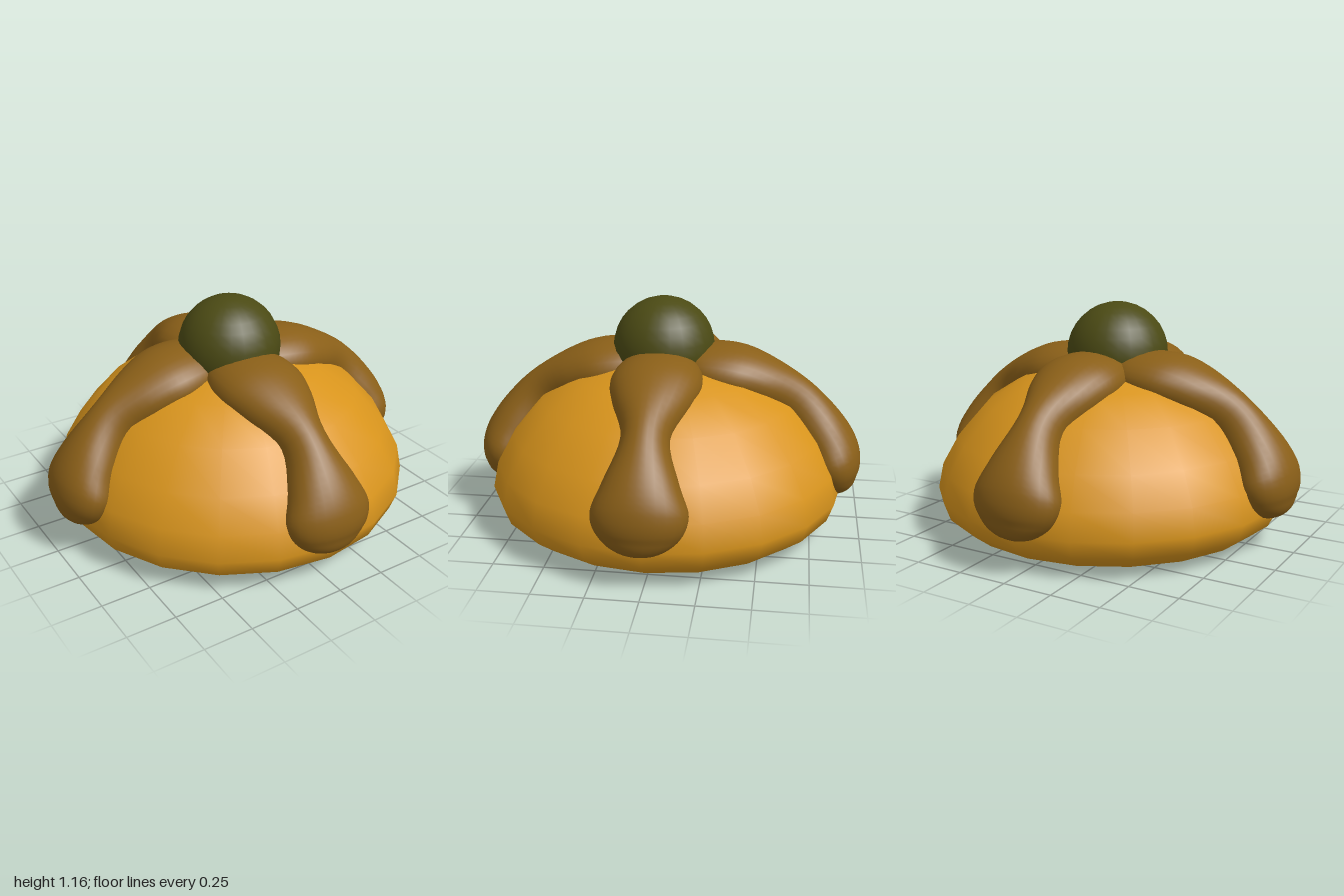
import * as THREE from 'three';

const material = (color) => new THREE.MeshStandardMaterial({ color, roughness: 0.9 });

// Bone profile: distance from the centre, height, half width, half thickness
const BONE = [
  [0.04, 0.80, 0.10, 0.09], [0.16, 0.81, 0.20, 0.12], [0.33, 0.79, 0.225, 0.14],
  [0.48, 0.74, 0.185, 0.135], [0.655, 0.635, 0.115, 0.13], [0.79, 0.48, 0.175, 0.14],
  [0.85, 0.36, 0.225, 0.145], [0.867, 0.26, 0.195, 0.12], [0.876, 0.19, 0.115, 0.08],
  [0.88, 0.155, 0, 0],
];

// Flattened tube draped over the dome towards +z; lateral position = shift + slope * distance
function boneGeometry(shift, slope) {
  const spline = (pts) => new THREE.CatmullRomCurve3(pts, false, 'catmullrom', 0.5);
  const path = spline(BONE.map(([r, y]) => new THREE.Vector3(0, y, r)));
  const size = spline(BONE.map(([, , w, t]) => new THREE.Vector3(w, t, 0)));
  const rows = 45, sides = 28, positions = [], index = [];
  for (let i = 0; i <= rows; i++) {
    const c = path.getPoint(i / rows), s = size.getPoint(i / rows), d = path.getTangent(i / rows);
    for (let j = 0; j < sides; j++) {
      const a = (j / sides) * Math.PI * 2;
      const out = Math.max(s.y, 0) * Math.sin(a);
      positions.push(
        shift + slope * c.z + Math.max(s.x, 0) * Math.cos(a),
        c.y + out * d.z,
        c.z - out * d.y,
      );
      if (i < rows) {
        const k = i * sides + j, n = i * sides + ((j + 1) % sides);
        index.push(k, n, k + sides, n, n + sides, k + sides);
      }
    }
  }
  const geometry = new THREE.BufferGeometry();
  geometry.setAttribute('position', new THREE.Float32BufferAttribute(positions, 3));
  geometry.setIndex(index);
  geometry.computeVertexNormals();
  return geometry;
}

export function createModel() {
  const group = new THREE.Group();
  group.name = 'breadRoll';
  const add = (name, geometry, mat) => {
    const mesh = new THREE.Mesh(geometry, mat);
    mesh.name = name;
    group.add(mesh);
    return mesh;
  };

  // Domed loaf with a flat base
  const profile = [
    [0, 0], [0.35, 0], [0.62, 0.007], [0.79, 0.04], [0.88, 0.11], [0.912, 0.2], [0.885, 0.33],
    [0.80, 0.48], [0.65, 0.65], [0.46, 0.77], [0.25, 0.84], [0, 0.87],
  ].map(([r, y]) => new THREE.Vector2(r, y));
  add('loaf', new THREE.LatheGeometry(profile, 20), material(0xd8941c)).position.set(0.02, 0, 0.005);

  // Four crossed dough bones
  const boneMaterial = material(0x8a5f18);
  [
    ['frontBone', 0, -0.03, 0.05],
    ['leftBone', Math.PI / 2, -0.02, 0],
    ['backBone', Math.PI, -0.02, 0],
    ['rightBone', -Math.PI / 2, -0.05, 0.07],
  ].forEach(([name, angle, shift, slope]) => {
    add(name, boneGeometry(shift, slope), boneMaterial).rotation.y = angle;
  });

  // Ball on top
  add('topBall', new THREE.SphereGeometry(0.26, 24, 16), material(0x4b4a14)).position.set(0, 0.9, 0.025);
  return group;
}
